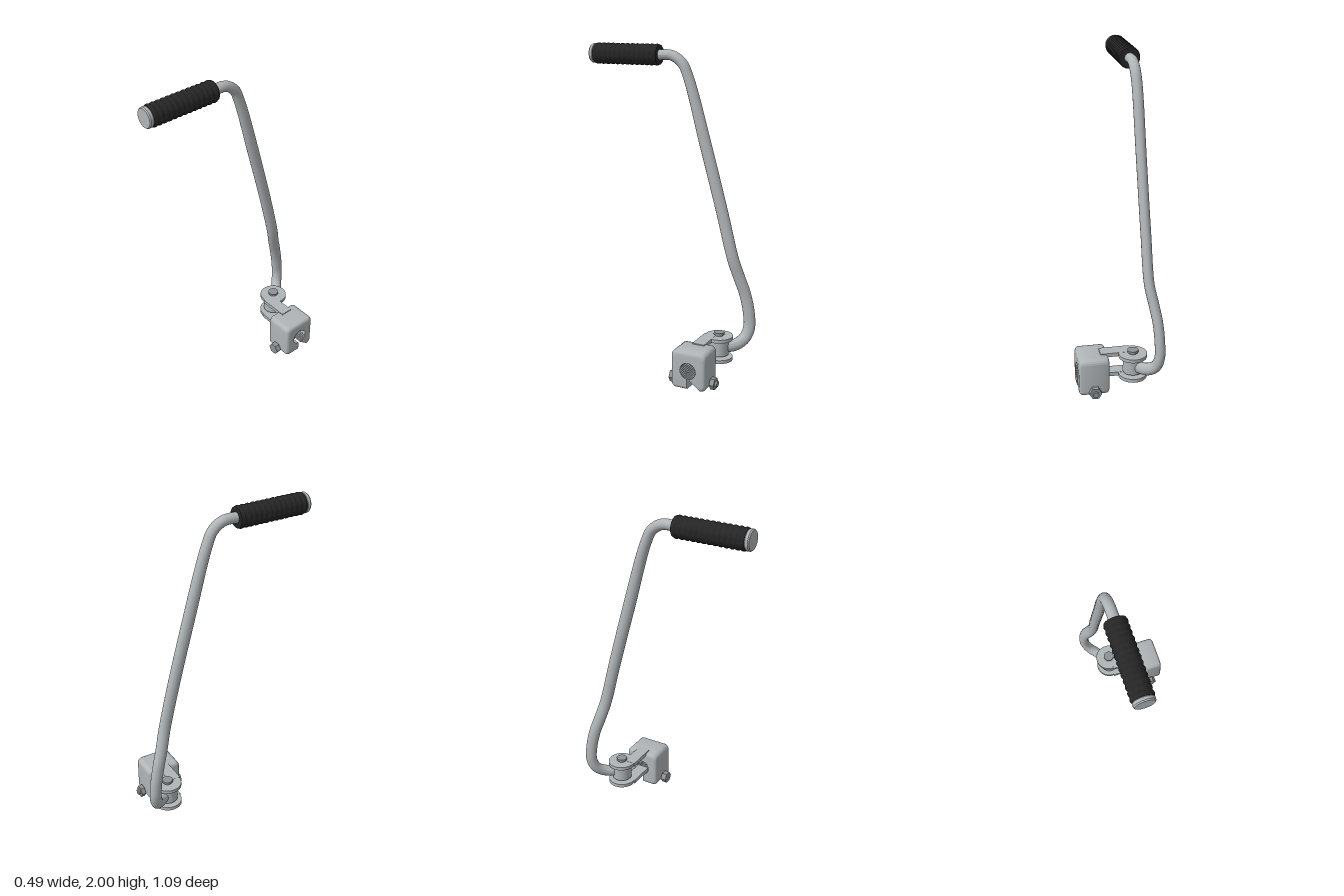
import * as THREE from 'three';
import { toCreasedNormals } from 'three/addons/utils/BufferGeometryUtils.js';

const steel = new THREE.MeshStandardMaterial({ color: 0xb0b5b8 });
steel.name = 'steel';
const bolt = new THREE.MeshStandardMaterial({ color: 0x8e9396 });
bolt.name = 'boltSteel';
const rubber = new THREE.MeshStandardMaterial({ color: 0x252525 });
rubber.name = 'rubber';

function add(parent, name, geometry, material, x = 0, y = 0, z = 0) {
  const mesh = new THREE.Mesh(geometry, material);
  mesh.name = name;
  mesh.position.set(x, y, z);
  parent.add(mesh);
  return mesh;
}

// Bent lever: tube that is slightly flattened sideways and thicker near the foot
function leverGeometry() {
  const path = new THREE.CatmullRomCurve3([
    [-0.146, 1.935, 0.3], [-0.146, 1.935, 0.1], [-0.146, 1.933, 0], [-0.147, 1.89, -0.066],
    [-0.15, 1.81, -0.105], [-0.154, 1.4, -0.224], [-0.16, 1.0, -0.334], [-0.168, 0.72, -0.405],
    [-0.19, 0.6, -0.44], [-0.207, 0.5, -0.472], [-0.216, 0.38, -0.497], [-0.215, 0.28, -0.503],
    [-0.195, 0.215, -0.483], [-0.15, 0.178, -0.44], [-0.09, 0.17, -0.365],
  ].map(p => new THREE.Vector3(...p)));
  const rings = 160, sides = 20;
  const geo = new THREE.TubeGeometry(path, rings, 1, sides);
  const pos = geo.attributes.position;
  for (let i = 0; i <= rings; i++) {
    const c = path.getPointAt(i / rings);
    const k = THREE.MathUtils.smoothstep(i / rings, 0.15, 0.4);
    for (let j = 0; j <= sides; j++) {
      const n = i * (sides + 1) + j;
      const v = new THREE.Vector3().fromBufferAttribute(pos, n).sub(c);
      v.multiplyScalar(0.031 + 0.006 * k);
      v.x *= 1 - 0.18 * k;
      v.add(c);
      pos.setXYZ(n, v.x, v.y, v.z);
    }
  }
  geo.computeVertexNormals();
  return geo;
}

// Ribbed sleeve turned about z
function gripGeometry(z0, z1) {
  const ribs = 13, n = ribs * 6, pts = [new THREE.Vector2(0.03, z0)];
  for (let i = 0; i <= n; i++) {
    const r = 0.0625 - 0.0028 * Math.cos((i / n) * ribs * Math.PI * 2);
    pts.push(new THREE.Vector2(r, z0 + (z1 - z0) * (i / n)));
  }
  pts.push(new THREE.Vector2(0.03, z1));
  return toCreasedNormals(new THREE.LatheGeometry(pts, 40).rotateX(Math.PI / 2), 0.9);
}

// Rounded clamp block with a splined bore along x and a slit below it
function clampGeometry(hx, hy, hz) {
  const slit = 0.007, bore = 0.052, corner = 0.03, edge = 0.022;
  const s = new THREE.Shape();
  s.moveTo(slit, -hy);
  [[1, -1, -0.5], [1, 1, 0], [-1, 1, 0.5], [-1, -1, 1]].forEach(([sx, sy, a]) => {
    const start = a * Math.PI;
    s.absarc(sx * (hz - corner), sy * (hy - corner), corner, start, start + Math.PI / 2, false);
  });
  s.lineTo(-slit, -hy);
  const gap = Math.asin(slit / bore), teeth = 28;
  for (let i = 0; i <= teeth * 2; i++) {
    const a = -Math.PI / 2 - gap - (i / (teeth * 2)) * (Math.PI * 2 - gap * 2);
    const r = i % 2 ? bore - 0.004 : bore;
    s.lineTo(Math.cos(a) * r, Math.sin(a) * r);
  }
  s.closePath();
  const steps = 9;
  const geo = new THREE.ExtrudeGeometry(s, { depth: steps, steps, bevelEnabled: false, curveSegments: 6 });
  // Round the outer edges of both ends, leaving the bore straight
  const pos = geo.attributes.position;
  for (let i = 0; i < pos.count; i++) {
    let x = pos.getX(i), y = pos.getY(i);
    const step = Math.round(pos.getZ(i));
    const end = Math.min(step, steps - step);
    const a = (end / 4) * Math.PI / 2;
    const inset = edge * (1 - Math.sin(a));
    if (Math.hypot(x, y) > bore * 1.2) {
      x *= 1 - inset / hz;
      y *= 1 - inset / hy;
    }
    const depth = hx - edge * (1 - Math.cos(a));
    pos.setXYZ(i, x, y, step < steps / 2 ? -depth : depth);
  }
  return toCreasedNormals(geo.rotateY(Math.PI / 2), 0.6);
}

const disc = (r, h, sides = 36) => new THREE.CylinderGeometry(r, r, h, sides);
const hexNut = (r, h) => toCreasedNormals(
  new THREE.CylinderGeometry(r, r, h, 6, 1, false, Math.PI / 6).rotateX(Math.PI / 2), 0.5);

export function createModel() {
  const model = new THREE.Group();
  model.name = 'crankLever';

  add(model, 'lever', leverGeometry(), steel);

  // Handle
  const handle = new THREE.Group();
  handle.name = 'handle';
  handle.position.set(-0.146, 1.935, 0);
  model.add(handle);
  add(handle, 'grip', gripGeometry(0.083, 0.518), rubber);
  const capProfile = [[0, 0.515], [0.055, 0.515], [0.06, 0.522], [0.06, 0.538], [0.055, 0.545], [0, 0.545]]
    .map(p => new THREE.Vector2(...p));
  add(handle, 'endCap', toCreasedNormals(new THREE.LatheGeometry(capProfile, 40).rotateX(Math.PI / 2), 0.5), steel);

  // Pivot: barrel on the lever foot between two fork plates
  const px = -0.087, pz = -0.355;
  add(model, 'pivotBarrel', disc(0.06, 0.09), steel, px, 0.172, pz);
  [['upper', 0.236, 0.107], ['lower', 0.103, 0.09]].forEach(([side, y, end]) => {
    add(model, side + 'ForkDisc', disc(0.086, 0.022), steel, px, y, pz);
    const start = -0.08;
    add(model, side + 'ForkArm', new THREE.BoxGeometry(end - start, 0.024, 0.077), steel,
      (start + end) / 2, y, -0.3015);
  });
  add(model, 'pivotPin', disc(0.026, 0.18, 24), bolt, px, 0.17, pz);
  add(model, 'pivotHead', disc(0.033, 0.014, 24), bolt, px, 0.262, pz);
  add(model, 'pivotFoot', disc(0.033, 0.008, 24), bolt, px, 0.086, pz);

  // Clamp block and its pinch bolt
  const cx = 0.153, cz = -0.295;
  add(model, 'clampBlock', clampGeometry(0.092, 0.118, 0.11), steel, cx, 0.124, cz);
  add(model, 'clampBolt', disc(0.018, 0.306, 20).rotateX(Math.PI / 2), bolt, cx, 0.038, -0.298);
  add(model, 'clampBoltHead', hexNut(0.038, 0.034), bolt, cx, 0.038, -0.162);
  add(model, 'clampNut', hexNut(0.038, 0.028), bolt, cx, 0.038, -0.424);

  return model;
}
